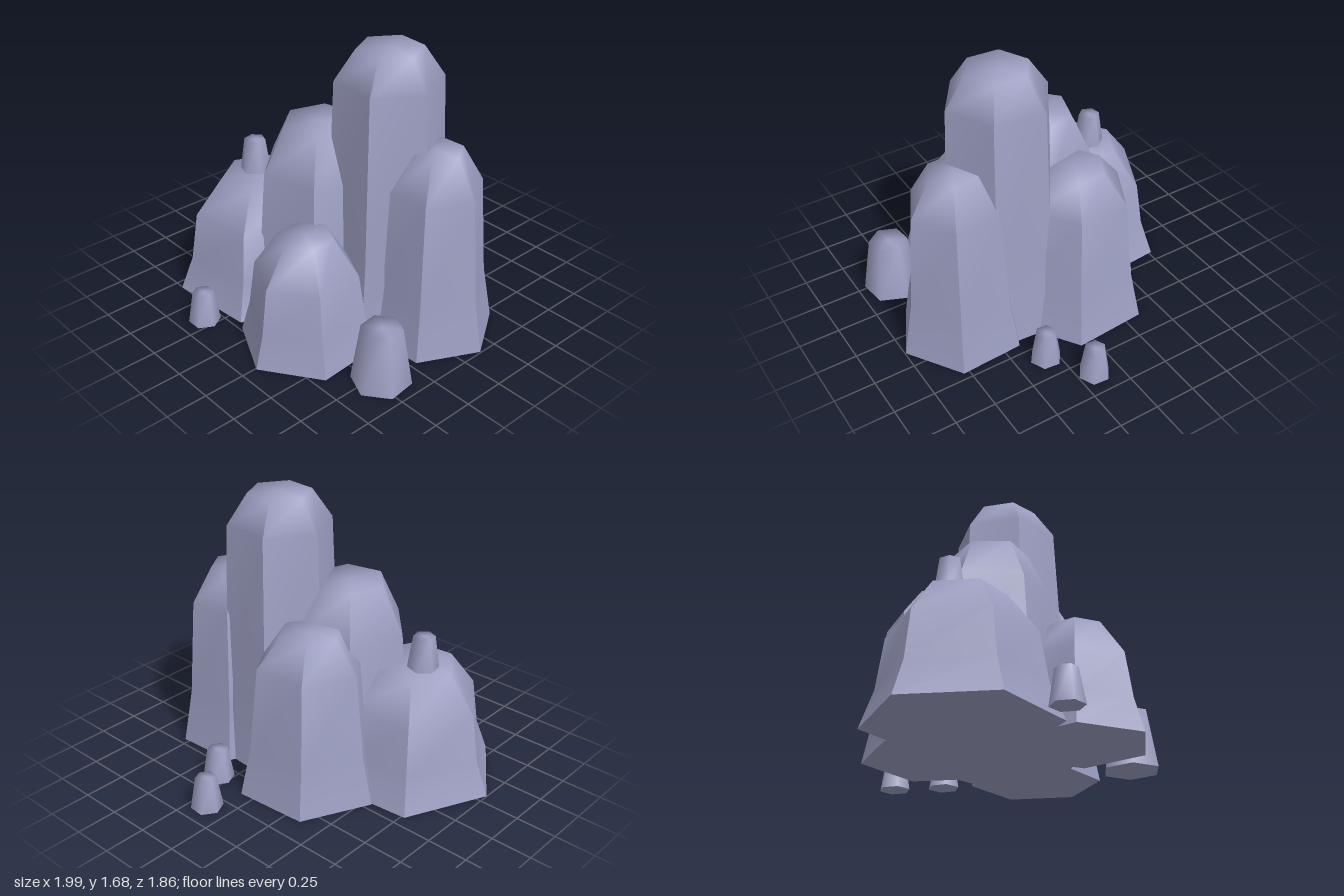
import * as THREE from 'three';

const SIDES = 6;

// Stacked hexagonal rings [radius, y]. Creased prisms split the side corners
// below the crown; the crown ring is always shared so the top rounds off softly.
function hexPrism(rings, degrees, creased) {
  const pos = [], index = [];
  const turn = THREE.MathUtils.degToRad(degrees);
  const add = (r, y, k) => {
    const a = turn + (k * Math.PI * 2) / SIDES;
    pos.push(r * Math.cos(a), y, r * Math.sin(a));
    return pos.length / 3 - 1;
  };
  const last = rings.length - 1;
  // each ring lists the [start, end] vertex of every side
  const loops = rings.map(([r, y], level) => {
    const split = creased && level < last;
    const starts = [], ends = [];
    for (let k = 0; k < SIDES; k++) {
      starts.push(add(r, y, k));
      if (split) ends.push(add(r, y, k + 1));
    }
    return starts.map((s, k) => [s, split ? ends[k] : starts[(k + 1) % SIDES]]);
  });
  for (let level = 0; level < last; level++) {
    for (let k = 0; k < SIDES; k++) {
      const [a, b] = loops[level][k], [c, d] = loops[level + 1][k];
      index.push(a, c, b, b, c, d);
    }
  }
  // crown
  const top = add(0, rings[last][1], 0);
  loops[last].forEach(([a, b]) => index.push(top, b, a));
  // underside
  const [r0, y0] = rings[0];
  const base = add(0, y0, 0);
  const rim = Array.from({ length: SIDES }, (_, k) => add(r0, y0, k));
  rim.forEach((v, k) => index.push(base, v, rim[(k + 1) % SIDES]));

  const geometry = new THREE.BufferGeometry();
  geometry.setAttribute('position', new THREE.Float32BufferAttribute(pos, 3));
  geometry.setIndex(index);
  geometry.computeVertexNormals();
  return geometry;
}

// Large columns: centre, turn, then rings from the ground to the crown
const COLUMNS = [
  { name: 'tallColumn', x: 0.29, z: -0.06, turn: 4,
    rings: [[0.4, 0], [0.35, 0.49], [0.31, 1.5], [0.19, 1.68]] },
  { name: 'middleColumn', x: -0.07, z: 0.13, turn: 47.5,
    rings: [[0.47, 0], [0.4, 0.34], [0.355, 0.905], [0.22, 1.18]] },
  { name: 'leftColumn', x: 0.61, z: -0.115, turn: -3,
    rings: [[0.385, 0], [0.325, 0.34], [0.28, 0.945], [0.155, 1.165]] },
  { name: 'backColumn', x: -0.105, z: -0.235, turn: -4,
    rings: [[0.445, 0], [0.38, 0.29], [0.325, 0.81], [0.18, 0.99]] },
  { name: 'rightColumn', x: -0.46, z: 0.265, turn: -5,
    rings: [[0.54, 0], [0.46, 0.21], [0.415, 0.505], [0.25, 0.725]] },
  { name: 'frontColumn', x: 0.23, z: 0.51, turn: 26,
    rings: [[0.4, 0], [0.345, 0.2], [0.305, 0.48], [0.16, 0.7]] },
];

// Small loose stumps
const STUMPS = [
  { name: 'perchedStump', x: -0.54, z: 0.25, turn: 20, y: 0.7, top: 0.925, r: 0.097, crown: 0.064 },
  { name: 'frontStump', x: -0.32, z: 0.845, turn: 0, y: 0, top: 0.2, r: 0.095, crown: 0.062 },
  { name: 'backStump', x: 0.15, z: -0.85, turn: 5, y: 0, top: 0.2, r: 0.095, crown: 0.062 },
  { name: 'innerBackStump', x: 0.32, z: -0.6, turn: 6, y: 0, top: 0.2, r: 0.095, crown: 0.062 },
  { name: 'largeStump', x: 0.79, z: 0.455, turn: 23, y: 0, top: 0.357, r: 0.173, crown: 0.117 },
];

export function createModel() {
  const model = new THREE.Group();
  model.name = 'rockColumns';
  const stone = new THREE.MeshStandardMaterial({ color: 0x9c9ec1 });
  stone.name = 'stone';

  const place = ({ name, x, z, turn }, rings, creased) => {
    const mesh = new THREE.Mesh(hexPrism(rings, turn, creased), stone);
    mesh.name = name;
    mesh.position.set(x, 0, z);
    model.add(mesh);
  };

  COLUMNS.forEach((c) => place(c, c.rings, true));
  STUMPS.forEach((s) => place(s, [[s.r, s.y], [s.crown, s.top]], false));
  return model;
}
